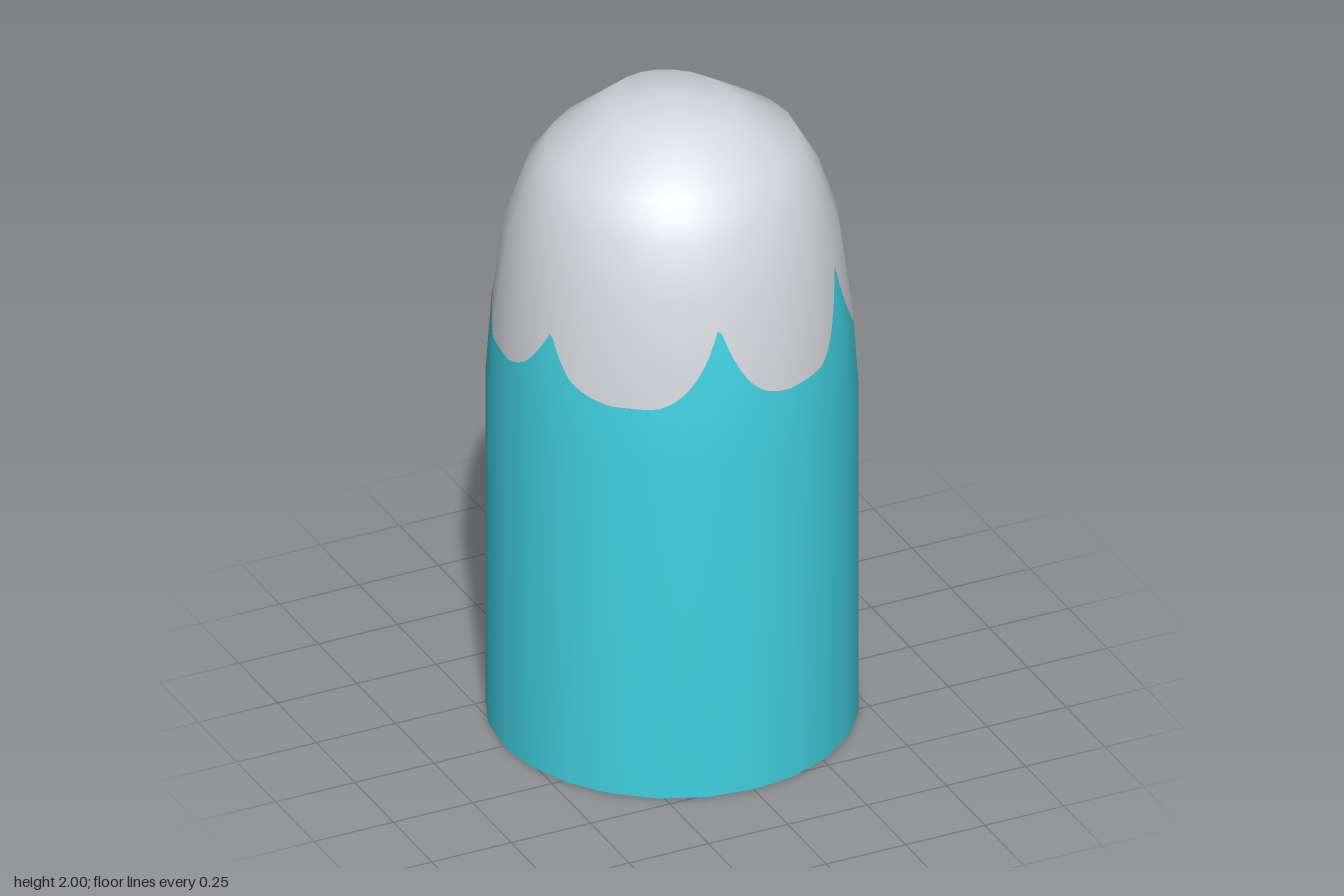
import * as THREE from 'three';

const SIDES = 24;
const STEP = (Math.PI * 2) / SIDES;
const COLS = SIDES * 10;

// Profile rings: height, radius in x, radius in z, tilt of the normal (radians)
const RINGS = [
  [0, 0.53, 0.53, 0],
  [1.08, 0.53, 0.53, 0.03],
  [1.32, 0.513, 0.513, 0.1],
  [1.59, 0.475, 0.48, 0.23],
  [1.75, 0.422, 0.42, 0.42],
  [1.85, 0.365, 0.337, 0.75],
  [1.968, 0.18, 0.203, 1.15],
  [2, 0, 0, Math.PI / 2],
];

// Scalloped paint line: peaks [degrees from +z towards +x, height] and the valley height after each
const SCALLOPS = [
  [-10, 1.51, 1.265],
  [46, 1.54, 1.23],
  [111, 1.49, 1.25],
  [176, 1.49, 1.215],
  [233, 1.5, 1.26],
  [290, 1.43, 1.26],
  [350, 1.51, 1.265],
];

function paintLine(theta) {
  let deg = THREE.MathUtils.radToDeg(theta);
  if (deg >= 350) deg -= 360;
  let k = 0;
  while (k < 5 && deg >= SCALLOPS[k + 1][0]) k++;
  const [a0, p0, valley] = SCALLOPS[k];
  const [a1, p1] = SCALLOPS[k + 1];
  const t = ((deg - a0) / (a1 - a0)) * 2 - 1;
  return valley + ((t < 0 ? p0 : p1) - valley) * Math.abs(t) ** 3.2;
}

// Ring values interpolated at a height
function ringAt(y) {
  let k = 0;
  while (k < RINGS.length - 2 && y > RINGS[k + 1][0]) k++;
  const a = RINGS[k], b = RINGS[k + 1];
  const t = (y - a[0]) / (b[0] - a[0]);
  return a.map((v, i) => v + (b[i] - v) * t);
}

// Part of the faceted shell; clampY limits each row to one side of the paint line
function shell(levels, clampY) {
  const pos = [], nor = [], idx = [];
  const rows = levels.length;
  for (let i = 0; i <= COLS; i++) {
    const theta = (i / COLS) * Math.PI * 2;
    const local = (i % 10) / 10 * STEP - STEP / 2;
    const flat = Math.cos(STEP / 2) / Math.cos(local);
    const edge = paintLine(theta);
    for (const level of levels) {
      const y = clampY(level, edge);
      const [, rx, rz, tilt] = ringAt(y);
      pos.push(Math.sin(theta) * rx * flat, y, Math.cos(theta) * rz * flat);
      nor.push(Math.sin(theta) * Math.cos(tilt), Math.sin(tilt), Math.cos(theta) * Math.cos(tilt));
    }
  }
  for (let i = 0; i < COLS; i++) {
    for (let j = 0; j < rows - 1; j++) {
      const a = i * rows + j, b = a + rows;
      idx.push(a, b, b + 1, a, b + 1, a + 1);
    }
  }
  const geo = new THREE.BufferGeometry();
  geo.setAttribute('position', new THREE.Float32BufferAttribute(pos, 3));
  geo.setAttribute('normal', new THREE.Float32BufferAttribute(nor, 3));
  geo.setIndex(idx);
  return geo;
}

export function createModel() {
  const teal = new THREE.MeshStandardMaterial({ color: 0x40cfe0, side: THREE.DoubleSide });
  teal.name = 'teal';
  const grey = new THREE.MeshStandardMaterial({ color: 0xd5d8dd });
  grey.name = 'lightGrey';

  const group = new THREE.Group();
  group.name = 'cappedCylinder';
  const add = (name, geo, mat) => {
    const mesh = new THREE.Mesh(geo, mat);
    mesh.name = name;
    group.add(mesh);
  };

  // Body wall up to the scalloped line, and the dome above it
  add('body', shell([0, 1.08, 1.32, 1.59], Math.min), teal);
  add('dome', shell([1.2, 1.32, 1.59, 1.67, 1.75, 1.8, 1.85, 1.91, 1.968, 2], Math.max), grey);

  // Conical hollow in the underside, faceted
  const hollow = new THREE.ConeGeometry(0.53, 1, SIDES, 1, true).translate(0, 0.5, 0).toNonIndexed();
  hollow.computeVertexNormals();
  add('hollow', hollow, teal);

  return group;
}
